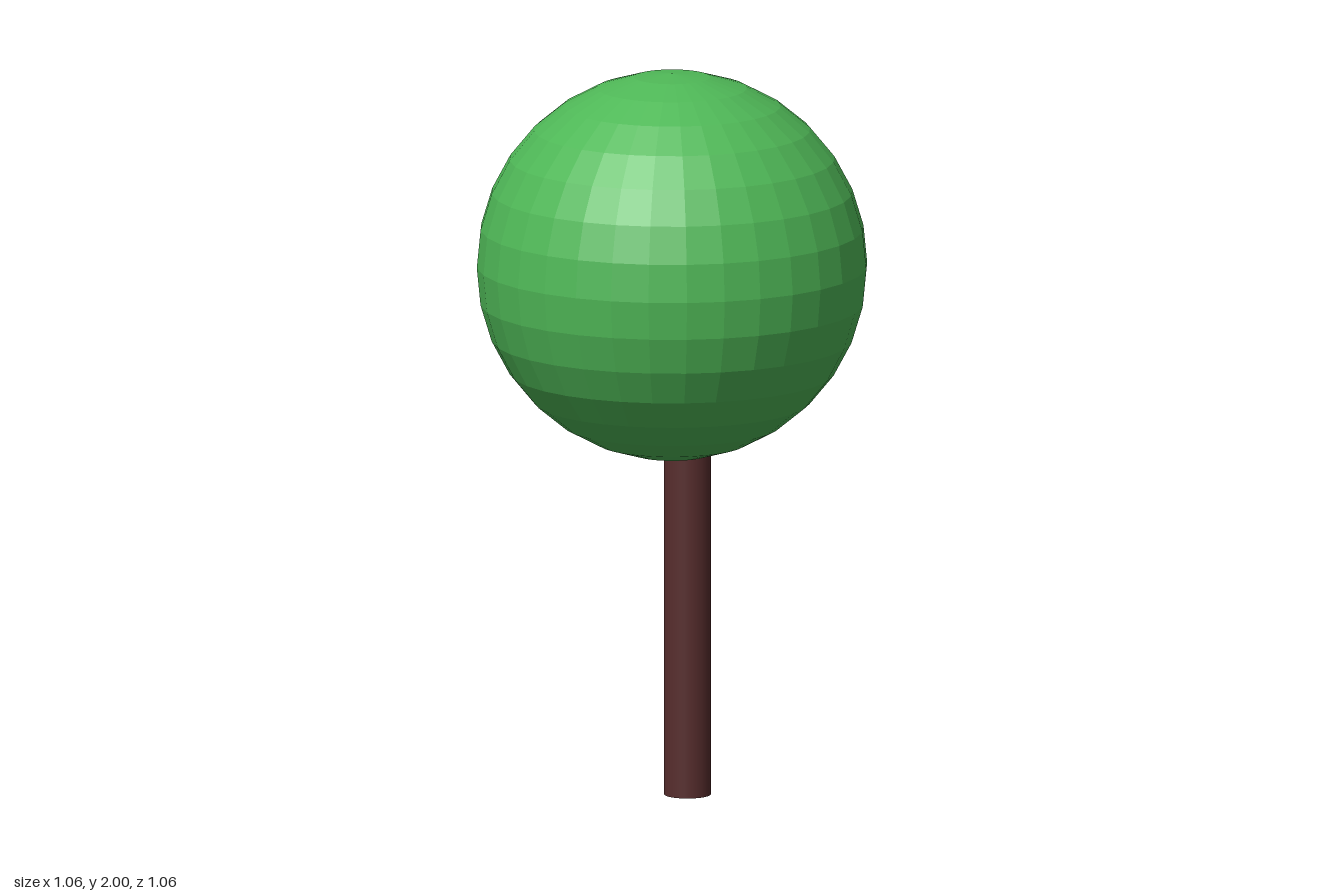
import * as THREE from 'three';

export function createModel() {
  const tree = new THREE.Group();
  tree.name = 'tree';

  const leafGreen = new THREE.MeshStandardMaterial({ color: 0x4fb857, flatShading: true });
  leafGreen.name = 'leafGreen';
  const barkBrown = new THREE.MeshStandardMaterial({ color: 0x572d2d });
  barkBrown.name = 'barkBrown';

  // Faceted round crown
  const radius = 0.532;
  const crown = new THREE.Mesh(new THREE.SphereGeometry(radius, 32, 16), leafGreen);
  crown.name = 'crown';
  crown.position.y = 2 - radius;

  // Straight trunk, slightly off centre, its top hidden inside the crown
  const height = 0.98;
  const trunk = new THREE.Mesh(new THREE.CylinderGeometry(0.064, 0.064, height, 32), barkBrown);
  trunk.name = 'trunk';
  trunk.position.set(0.043, height / 2, -0.011);

  tree.add(crown, trunk);
  return tree;
}
